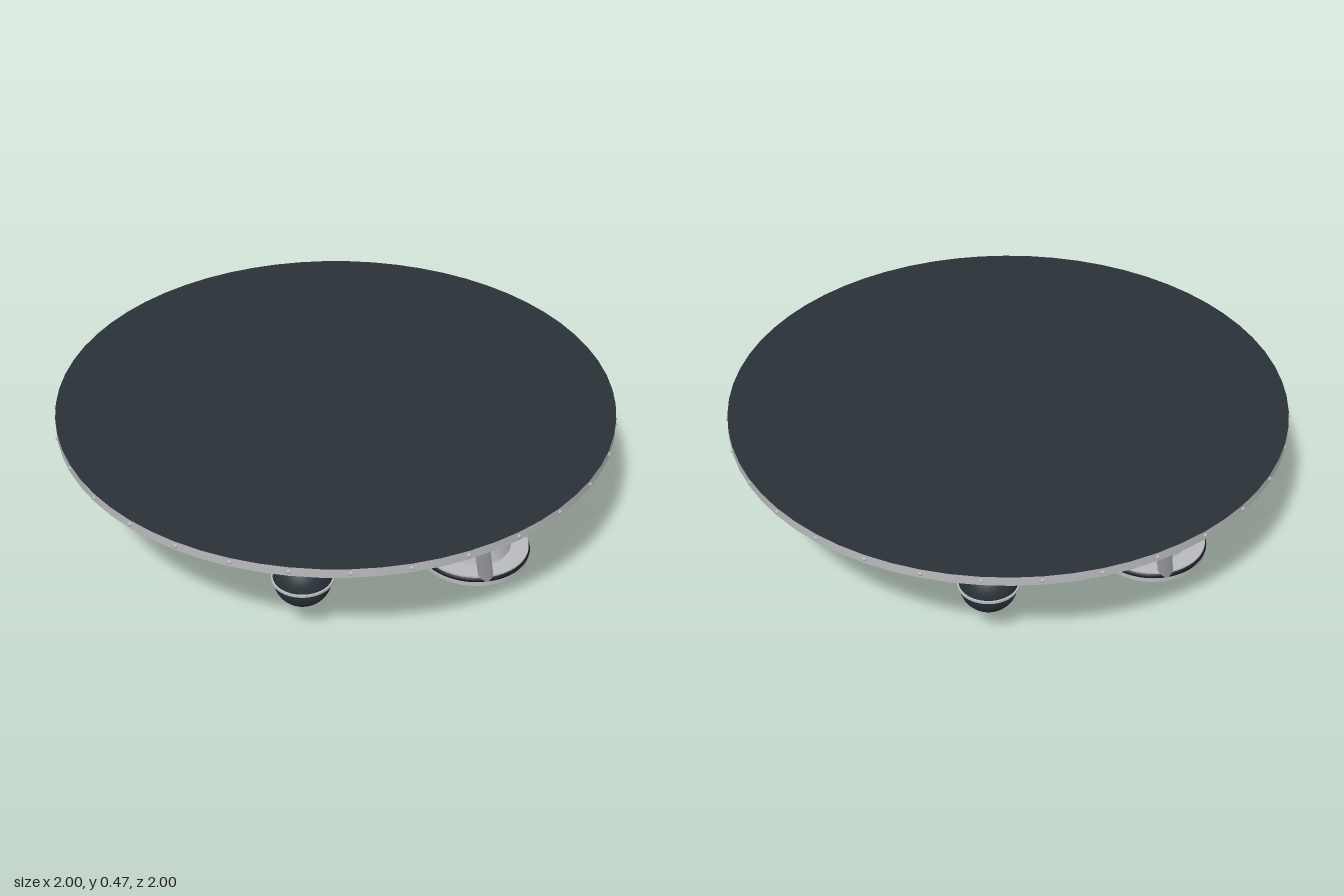
import * as THREE from 'three';

const mat = (name, color) => {
  const m = new THREE.MeshStandardMaterial({ color });
  m.name = name;
  return m;
};

export function createModel() {
  const root = new THREE.Group();
  root.name = 'dishPlatform';
  const steel = mat('lightSteel', 0xb8babd);
  const slate = mat('darkSlate', 0x293238);
  const bronze = mat('bronze', 0xc8975c);
  const black = mat('blackRubber', 0x1b1f22);

  const add = (parent, name, geo, material, x = 0, y = 0, z = 0) => {
    const m = new THREE.Mesh(geo, material);
    m.name = name;
    m.position.set(x, y, z);
    parent.add(m);
    return m;
  };
  const ring = (parent, name, r, tube, material, x, y, z) => {
    const m = add(parent, name, new THREE.TorusGeometry(r, tube, 8, 64), material, x, y, z);
    m.rotation.x = Math.PI / 2;
    return m;
  };
  const rod = (parent, name, a, b, r, material) => {
    const m = add(parent, name, new THREE.CylinderGeometry(r, r, a.distanceTo(b), 16), material);
    m.position.copy(a).lerp(b, 0.5);
    m.quaternion.setFromUnitVectors(new THREE.Vector3(0, 1, 0), b.clone().sub(a).normalize());
    return m;
  };

  // Shallow bowl with two seam rings
  const profile = new THREE.SplineCurve([
    [0, 0.242], [0.42, 0.257], [0.62, 0.285], [0.77, 0.317],
    [0.86, 0.35], [0.92, 0.39], [0.96, 0.437],
  ].map(p => new THREE.Vector2(...p))).getPoints(28);
  profile[0].x = 0;
  add(root, 'bowl', new THREE.LatheGeometry(profile, 64), bronze);
  ring(root, 'outerSeam', 0.765, 0.007, black, 0, 0.313, 0);
  ring(root, 'innerSeam', 0.425, 0.007, black, 0, 0.256, 0);

  // Rim with dark deck and rivets
  add(root, 'rim', new THREE.CylinderGeometry(0.993, 0.993, 0.034, 64), [steel, slate, steel], 0, 0.453, 0);
  const rivetGeo = new THREE.SphereGeometry(0.008, 8, 6);
  for (let i = 0; i < 32; i++) {
    const a = i * Math.PI / 16;
    add(root, 'rivet', rivetGeo, steel, Math.sin(a) * 0.992, 0.453, Math.cos(a) * 0.992);
  }

  // Four hanging spheres, each with a flat equator band
  for (let i = 0; i < 4; i++) {
    const a = Math.atan2(0.275, 0.67) + i * Math.PI / 2;
    const g = new THREE.Group();
    g.name = 'hangingSphere';
    g.position.set(Math.sin(a) * 0.724, 0.22, Math.cos(a) * 0.724);
    add(g, 'ball', new THREE.SphereGeometry(0.1, 32, 20), slate);
    add(g, 'equatorBand', new THREE.CylinderGeometry(0.106, 0.106, 0.008, 40), steel);
    root.add(g);
  }

  // Two feet with pedestal, struts and pipes
  for (const s of [1, -1]) {
    const foot = new THREE.Group();
    foot.name = s > 0 ? 'leftFoot' : 'rightFoot';
    root.add(foot);
    const cx = 0.575 * s;
    add(foot, 'footPlate', new THREE.CylinderGeometry(0.195, 0.195, 0.042, 48), steel, cx, 0.021, 0);
    ring(foot, 'footSeal', 0.188, 0.012, black, cx, 0.027, 0);
    add(foot, 'pedestal', new THREE.CylinderGeometry(0.077, 0.132, 0.245, 32), steel, cx, 0.16, 0);

    for (const t of [1, -1]) {
      // Outer and inner struts with ball joints
      const struts = [
        [[0.69, 0.03, 0.13], [0.73, 0.305, 0.27]],
        [[0.44, 0.03, 0.11], [0.235, 0.238, 0.33]],
      ];
      for (const [a, b] of struts) {
        const p = new THREE.Vector3(a[0] * s, a[1], a[2] * t);
        const q = new THREE.Vector3(b[0] * s, b[1], b[2] * t);
        rod(foot, 'strut', p, q, 0.027, steel);
        add(foot, 'ballJoint', new THREE.SphereGeometry(0.043, 20, 14), steel, q.x, q.y, q.z);
      }
      // Bent pipe from bowl to pedestal, one of each pair set closer in
      const reach = s === t ? 0.25 : 0.3;
      const path = new THREE.CatmullRomCurve3([
        [0.52, 0.28, 1], [0.52, 0.22, 1], [0.523, 0.16, 0.97],
        [0.54, 0.105, 0.8], [0.56, 0.09, 0.57], [0.58, 0.09, 0.27],
      ].map(p => new THREE.Vector3(p[0] * s, p[1], p[2] * reach * t)));
      add(foot, 'pipe', new THREE.TubeGeometry(path, 32, 0.039, 16), steel);
      add(foot, 'pipeFlange', new THREE.CylinderGeometry(0.055, 0.055, 0.018, 24), steel, 0.52 * s, 0.207, reach * t);
    }
  }

  // Beam joining the feet
  add(root, 'crossBeam', new THREE.BoxGeometry(0.96, 0.062, 0.13), steel, 0, 0.049, 0);
  return root;
}
